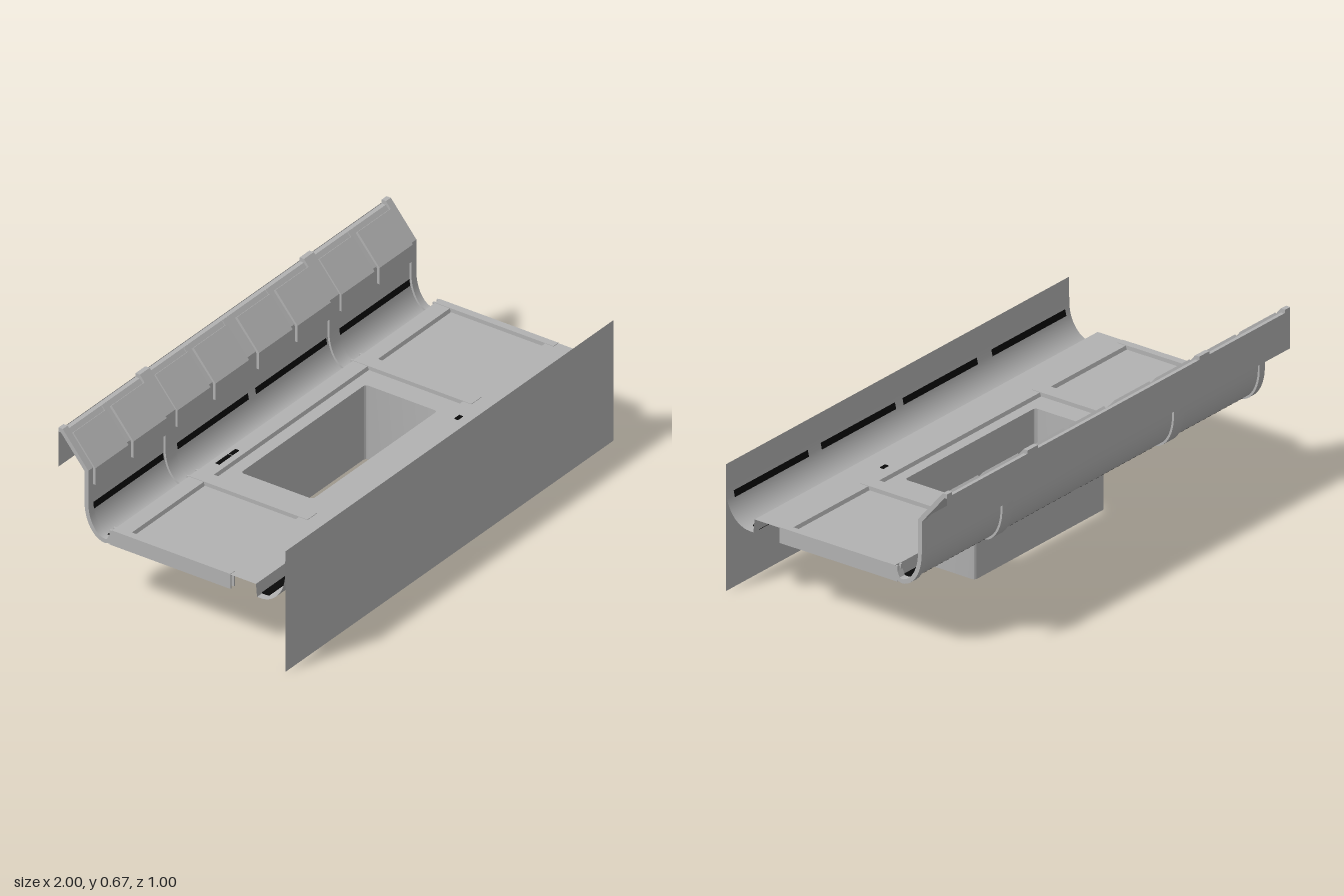
import * as THREE from 'three';
import { toCreasedNormals } from 'three/addons/utils/BufferGeometryUtils.js';

export function createModel() {
  const root = new THREE.Group();
  const grey = new THREE.MeshStandardMaterial({ color: 0xb2b2b2, side: THREE.DoubleSide });
  grey.name = 'greyPanel';
  const black = new THREE.MeshStandardMaterial({ color: 0x080808, side: THREE.DoubleSide });
  black.name = 'blackSlot';

  const add = (name, geo, mat = grey) => {
    const m = new THREE.Mesh(geo, mat);
    m.name = name;
    root.add(m);
    return m;
  };
  const box = (name, x0, x1, y0, y1, z0, z1, mat) =>
    add(name, new THREE.BoxGeometry(x1 - x0, y1 - y0, z1 - z0)
      .translate((x0 + x1) / 2, (y0 + y1) / 2, (z0 + z1) / 2), mat);

  // Thin sheet: a [z, y] profile swept along x
  const sheet = (name, prof, x0, x1, mat) => {
    const pos = [], idx = [];
    prof.forEach(([z, y], i) => {
      pos.push(x0, y, z, x1, y, z);
      const a = i * 2;
      if (i) idx.push(a - 2, a - 1, a, a - 1, a + 1, a);
    });
    // winding: turn the front side towards the middle of the channel
    const g = new THREE.BufferGeometry();
    g.setAttribute('position', new THREE.Float32BufferAttribute(pos, 3));
    g.setIndex(idx);
    return add(name, toCreasedNormals(g, 0.6), mat);
  };

  // Solid band of half thickness t around a [z, y] profile
  const band = (name, prof, t, x0, x1) => {
    const p = prof.map(([z, y]) => new THREE.Vector2(-z, y));
    const off = (s) => p.map((v, i) => {
      const a = i ? v.clone().sub(p[i - 1]).normalize() : null;
      const b = i < p.length - 1 ? p[i + 1].clone().sub(v).normalize() : null;
      const d = (a && b ? a.clone().add(b) : a || b).clone().normalize();
      const k = a ? Math.max(0.5, a.dot(d)) : 1;
      return new THREE.Vector2(v.x - d.y * s * t / k, v.y + d.x * s * t / k);
    });
    const shape = new THREE.Shape([...off(1), ...off(-1).reverse()]);
    const g = new THREE.ExtrudeGeometry(shape, { depth: x1 - x0, bevelEnabled: false });
    g.rotateY(Math.PI / 2).translate(x0, 0, 0);
    return add(name, toCreasedNormals(g, 0.5));
  };

  // Quarter curve of a gutter from z0 outwards by w (signed)
  const arc = (z0, w) => Array.from({ length: 13 }, (_, i) => {
    const a = i / 12 * Math.PI / 2;
    return [z0 + w * Math.sin(a), 0.4 - 0.132 * Math.cos(a)];
  });
  const backArc = arc(-0.295, -0.082), frontArc = arc(0.39, 0.108);

  // Front wall and its gutter
  sheet('frontWall', [[0.5, 0.5], [0.5, 0]], -1, 1);
  sheet('frontGutter', [[0.5, 0.5], ...frontArc.reverse(), [0.375, 0.268], [0.37, 0.32]], -1, 1);

  // Back gutter, wall, sloped top and rear skirt
  sheet('backWall', [[-0.265, 0.32], [-0.272, 0.268], ...backArc, [-0.377, 0.53],
    [-0.482, 0.652], [-0.5, 0.652]], -1, 1);
  sheet('rearSkirt', [[-0.5, 0.655], [-0.5, 0.505]], -1, 1);

  // Floor strips and recessed floor panels
  sheet('frontFloor', [[0.37, 0.32], [0.22, 0.32], [0.215, 0.306]], -1, 1);
  sheet('backFloor', [[-0.195, 0.306], [-0.2, 0.32], [-0.265, 0.32]], -1, 1);
  for (const s of [-1, 1]) {
    const [a, b] = s < 0 ? [-0.97, -0.53] : [0.53, 0.97];
    sheet('sidePanel', [[0.215, 0.306], [-0.195, 0.306]], a, b);
    for (const z of [-0.19, 0.2]) box('underRail', a, b, 0.28, 0.302, z, z + 0.01);
  }

  // Middle panel with a rounded opening, shape drawn in x and -z
  const roundRect = (path, x, z0, z1, r) => {
    path.absarc(x - r, -z0 - r, r, Math.PI / 2, 0, true);
    path.absarc(x - r, -z1 + r, r, 0, -Math.PI / 2, true);
    path.absarc(-x + r, -z1 + r, r, -Math.PI / 2, -Math.PI, true);
    path.absarc(-x + r, -z0 - r, r, Math.PI, Math.PI / 2, true);
    path.closePath();
    return path;
  };
  const mid = new THREE.Shape([[-0.47, -0.215], [0.47, -0.215], [0.47, 0.195], [-0.47, 0.195]]
    .map(([x, y]) => new THREE.Vector2(x, y)));
  const hole = roundRect(new THREE.Path(), 0.38, -0.145, 0.172, 0.014);
  mid.holes.push(hole);
  add('middlePanel', new THREE.ShapeGeometry(mid, 4).rotateX(-Math.PI / 2).translate(0, 0.306, 0));

  // Pit below the opening, open at top and bottom
  const ring = hole.getPoints(4);
  const pos = [], idx = [];
  ring.forEach((p, i) => {
    pos.push(p.x, 0, -p.y, p.x, 0.306, -p.y);
    const a = i * 2;
    if (i) idx.push(a - 2, a - 1, a, a - 1, a + 1, a);
  });
  const pit = new THREE.BufferGeometry();
  pit.setAttribute('position', new THREE.Float32BufferAttribute(pos, 3));
  pit.setIndex(idx);
  add('pitWalls', toCreasedNormals(pit, 0.6));

  // Ribs: hollow floor beam, then a solid band up the back wall
  const ribPath = [[-0.262, 0.31], [-0.28, 0.272], ...backArc, [-0.377, 0.53],
    [-0.485, 0.659], [-0.5, 0.659]];
  for (const [a, b] of [[-1, -0.97], [-0.53, -0.47], [0.47, 0.53], [0.97, 1]]) {
    box('beamTop', a, b, 0.312, 0.322, -0.265, 0.257);
    for (const x of [a, b - 0.008]) box('beamSide', x, x + 0.008, 0.26, 0.32, -0.275, 0.257);
    band('wallRib', ribPath, 0.0085, a, b);
  }

  // Raised panels on the upper wall, with small ribs behind their joints
  const edges = [[0.03, 0.235], [0.265, 0.468], [0.532, 0.735], [0.765, 0.968]];
  const panelPath = [[-0.367, 0.462], [-0.367, 0.528], [-0.462, 0.642]];
  for (const [a, b] of edges) {
    band('upperPanel', panelPath, 0.006, a, b);
    band('upperPanel', panelPath, 0.006, -b, -a);
  }
  for (const [x, w] of [[-0.75, 0.015], [-0.25, 0.015], [0, 0.03], [0.25, 0.015], [0.75, 0.015]])
    band('jointRib', [[-0.381, 0.462], [-0.381, 0.53], [-0.484, 0.649]], 0.007, x - w, x + w);

  // Black slots in the gutters and on the inner walls
  for (const [a, b] of [[-0.97, -0.54], [-0.455, -0.022], [0.022, 0.455], [0.53, 0.962]]) {
    box('gutterSlot', a, b, 0.265, 0.274, -0.31, -0.27, black);
    box('gutterSlot', a, b, 0.265, 0.274, 0.376, 0.407, black);
    sheet('wallSlot', [[-0.368, 0.36], [-0.3725, 0.385]], a, b, black);
    sheet('wallSlot', [[0.494, 0.385], [0.488, 0.36]], a, b, black);
  }

  // Small black floor marks
  for (const [a, b, z] of [[-0.4, -0.325, -0.233], [-0.318, -0.28, -0.233], [0.352, 0.382, 0.275]])
    box('floorMark', a, b, 0.318, 0.323, z - 0.008, z + 0.008, black);

  return root;
}
